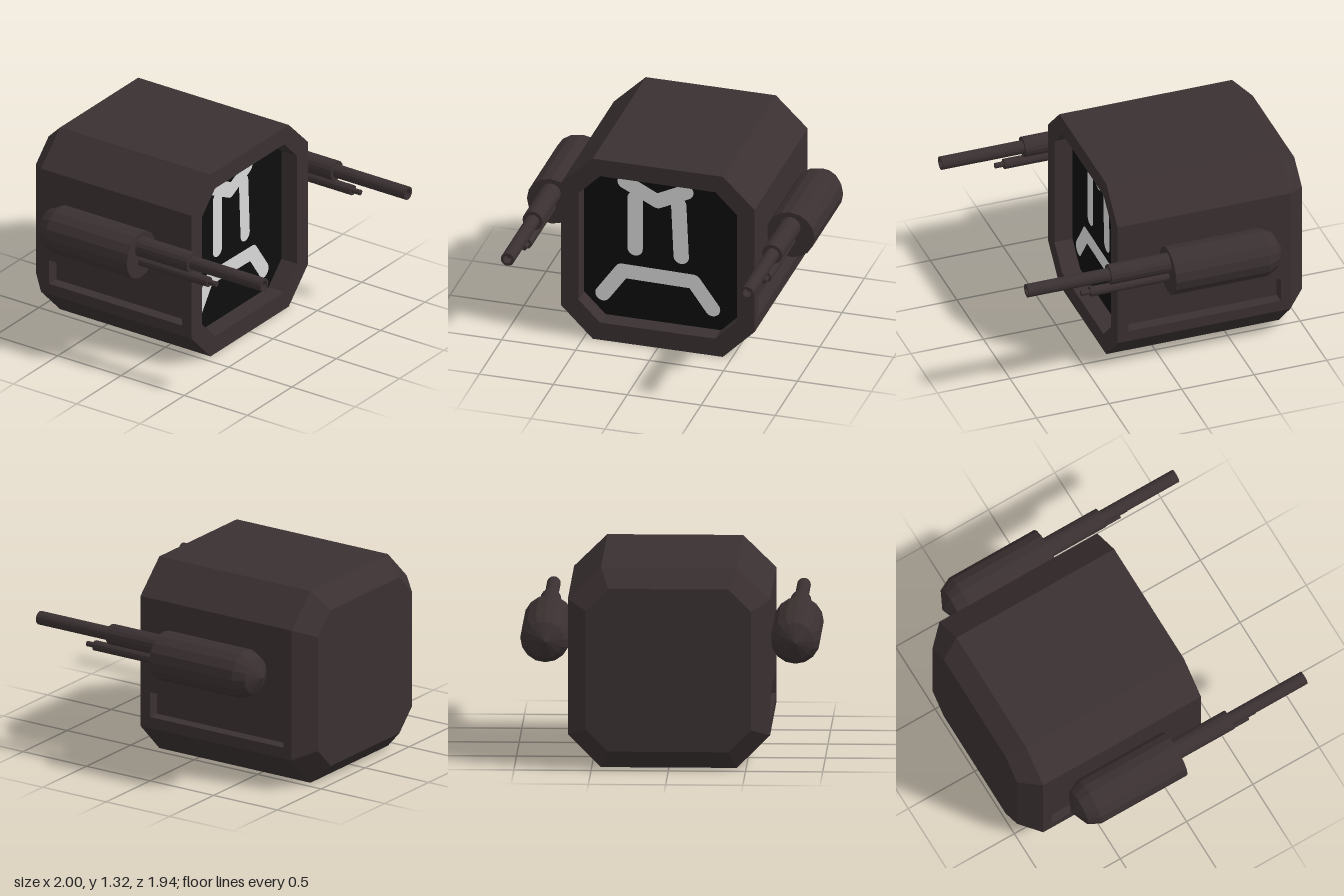
import * as THREE from 'three';

const shell = new THREE.MeshStandardMaterial({ color: 0x3a3031 });
shell.name = 'dark brown shell';
const black = new THREE.MeshStandardMaterial({ color: 0x0e0e0e });
black.name = 'screen black';
const white = new THREE.MeshStandardMaterial({ color: 0xd8d8d8 });
white.name = 'face light grey';

function mesh(name, geometry, material) {
  const m = new THREE.Mesh(geometry, material);
  m.name = name;
  return m;
}

// Flat-shaded geometry from convex polygons (corners counter-clockwise).
function polygons(polys) {
  const pos = [];
  for (const p of polys) {
    for (let i = 1; i < p.length - 1; i++) pos.push(...p[0], ...p[i], ...p[i + 1]);
  }
  const g = new THREE.BufferGeometry();
  g.setAttribute('position', new THREE.Float32BufferAttribute(pos, 3));
  g.computeVertexNormals();
  return g;
}

// Octagonal cross-section at x; the first and fifth edges are the upright sides.
function octagon(x, hz, cz, lo, clo, chi, hi) {
  return [[hz, clo], [hz, chi], [cz, hi], [-cz, hi], [-hz, chi], [-hz, clo], [-cz, lo], [cz, lo]]
    .map(([z, y]) => [x, y, z]);
}
const outer = x => octagon(x, 0.655, 0.44, 0, 0.215, 1.105, 1.315);
const inner = x => octagon(x, 0.535, 0.39, 0.125, 0.27, 1.05, 1.195);

const BACK = -0.875, FRONT = 0.315, SCREEN = 0.19;

// Housing: bevelled back, long octagonal shell, front rim and screen recess.
function housing() {
  const rings = [inner(-1), outer(BACK), outer(FRONT), inner(FRONT), inner(SCREEN)];
  const polys = [rings[0]];
  for (let r = 0; r < rings.length - 1; r++) {
    const a = rings[r], b = rings[r + 1];
    for (let i = 0; i < 8; i++) {
      if (r === 1 && i % 4 === 0) continue; // side walls are built with their slots
      const j = (i + 1) % 8;
      polys.push([a[i], b[i], b[j], a[j]]);
    }
  }
  return mesh('housing', polygons(polys), shell);
}

// Side wall with a recessed slot.
function sideWall(s) {
  const rect = (xa, xb, y0, y1) => {
    const x0 = Math.min(s * xa, s * xb), x1 = Math.max(s * xa, s * xb);
    return [[x0, y0], [x1, y0], [x1, y1], [x0, y1]];
  };
  const toPath = (pts, Type) => new Type(pts.map(p => new THREE.Vector2(...p)));
  const slot = rect(-0.81, 0.24, 0.29, 0.46);
  const wall = toPath(rect(BACK, FRONT, 0.215, 1.105), THREE.Shape);
  wall.holes.push(toPath(slot, THREE.Path));

  const rim = slot.map(p => [...p, 0]), floor = slot.map(p => [...p, -0.08]);
  const recess = [floor];
  for (let i = 0; i < 4; i++) {
    const j = (i + 1) % 4;
    recess.push([rim[i], rim[j], floor[j], floor[i]]);
  }
  const g = new THREE.Group();
  g.name = s > 0 ? 'frontSideWall' : 'backSideWall';
  g.add(mesh('wallPanel', new THREE.ShapeGeometry(wall), shell));
  g.add(mesh('slotRecess', polygons(recess), shell));
  g.position.z = s * 0.655;
  if (s < 0) g.rotation.y = Math.PI;
  return g;
}

// Flat stroke with round ends between two points.
function stroke([x0, y0], [x1, y1], r = 0.052) {
  const a = Math.atan2(y1 - y0, x1 - x0);
  const s = new THREE.Shape();
  s.absarc(x0, y0, r, a + Math.PI / 2, a + Math.PI * 1.5, false);
  s.absarc(x1, y1, r, a - Math.PI / 2, a + Math.PI / 2, false);
  return new THREE.ShapeGeometry(s, 10);
}

// Screen with its painted scowling face.
function screenFace() {
  const g = new THREE.Group();
  g.name = 'screenFace';
  g.add(mesh('screen', polygons([inner(SCREEN).reverse()]), black));
  const lines = {
    brow: [[-0.257, 1.114], [-0.039, 1.005], [0.153, 1.098]],
    eyeA: [[-0.19, 1.0], [-0.19, 0.637]],
    eyeB: [[0.105, 1.0], [0.122, 0.622]],
    mouth: [[-0.407, 0.277], [-0.277, 0.461], [0.205, 0.453], [0.334, 0.272]],
  };
  for (const [name, pts] of Object.entries(lines)) {
    for (let i = 0; i < pts.length - 1; i++) {
      const m = mesh(name, stroke(pts[i], pts[i + 1]), white);
      m.rotation.y = Math.PI / 2;
      m.position.x = SCREEN + 0.004;
      g.add(m);
    }
  }
  return g;
}

// Faceted turned part along x; profile points are [x, radius].
function turned(name, profile, y, sides) {
  const lathe = new THREE.LatheGeometry(profile.map(([x, r]) => new THREE.Vector2(r, x)), sides);
  const g = lathe.toNonIndexed();
  g.rotateZ(-Math.PI / 2);
  g.computeVertexNormals();
  const m = mesh(name, g, shell);
  m.position.y = y;
  return m;
}

// Side gun: round-nosed pod with a large and a small stepped barrel.
function gun(s) {
  const g = new THREE.Group();
  g.name = s > 0 ? 'frontGun' : 'backGun';
  g.add(turned('gunPod',
    [[-0.76, 0], [-0.7, 0.122], [-0.62, 0.162], [0.025, 0.162], [0.025, 0]], 0.803, 16));
  g.add(turned('mainBarrel',
    [[0, 0.068], [0.435, 0.068], [0.435, 0.045], [1, 0.045], [1, 0.029], [0.93, 0.029], [0.93, 0]], 0.865, 16));
  g.add(turned('smallBarrel',
    [[0, 0.034], [0.565, 0.034], [0.565, 0.018], [0.625, 0.018], [0.625, 0]], 0.762, 12));
  g.position.z = s * 0.81;
  return g;
}

export function createModel() {
  const model = new THREE.Group();
  model.name = 'armedScreenHead';
  model.add(housing(), screenFace());
  for (const s of [1, -1]) model.add(sideWall(s), gun(s));
  return model;
}
